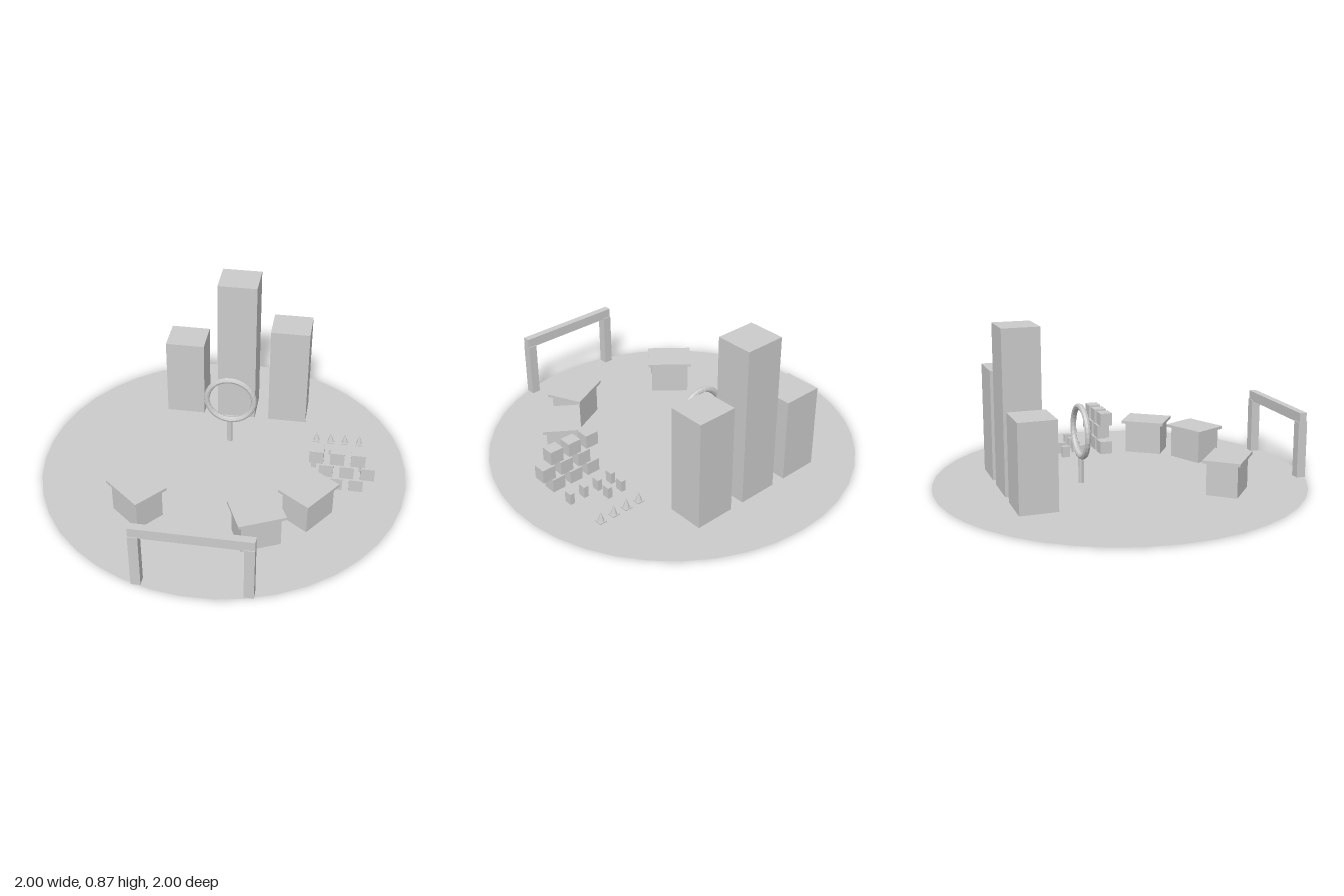
import * as THREE from 'three';

const grey = new THREE.MeshStandardMaterial({ color: 0xcccccc, flatShading: true });
const greyDouble = new THREE.MeshStandardMaterial({ color: 0xcccccc, flatShading: true, side: THREE.DoubleSide });
const SITE_TURN = 30; // most parts share this heading

function add(parent, name, geometry, x, y, z) {
  const mesh = new THREE.Mesh(geometry, grey);
  mesh.name = name;
  mesh.position.set(x, y, z);
  parent.add(mesh);
  return mesh;
}

// box standing on height y
function box(parent, name, w, h, d, x = 0, y = 0, z = 0) {
  return add(parent, name, new THREE.BoxGeometry(w, h, d), x, y + h / 2, z);
}

function place(parent, name, x, z, degrees = SITE_TURN) {
  const group = new THREE.Group();
  group.name = name;
  group.position.set(x, 0, z);
  group.rotation.y = THREE.MathUtils.degToRad(degrees);
  parent.add(group);
  return group;
}

export function createModel() {
  const model = new THREE.Group();
  model.name = 'plaza';

  // round ground plate
  const ground = add(model, 'ground', new THREE.CircleGeometry(1, 40).rotateX(-Math.PI / 2), 0, 0.002, 0);
  ground.material = greyDouble;

  // three towers in a row
  [[-0.537, -0.33, 0.465], [-0.277, -0.48, 0.868], [-0.017, -0.63, 0.6]].forEach(([x, z, h]) => {
    box(place(model, 'tower', x, z), 'towerBlock', 0.22, h, 0.2);
  });

  // upright ring on a post
  const ring = place(model, 'ringMonument', -0.11, -0.19);
  add(ring, 'ring', new THREE.TorusGeometry(0.133, 0.016, 8, 32), 0, 0.283, 0);
  add(ring, 'ringPost', new THREE.CylinderGeometry(0.014, 0.014, 0.145, 8), 0, 0.0725, 0);

  // stalls with flat overhanging roofs
  [[-0.105, 0.585, -10], [0.49, 0.345, 55], [0.595, 0.045, 85]].forEach(([x, z, turn]) => {
    const stall = place(model, 'stall', x, z, turn);
    box(stall, 'stallBody', 0.21, 0.175, 0.165);
    box(stall, 'stallRoof', 0.25, 0.016, 0.2, 0, 0.175);
  });

  // entrance gate
  const gate = place(model, 'gate', 0.465, 0.81);
  for (const side of [-1, 1]) box(gate, 'gatePost', 0.05, 0.31, 0.05, side * 0.275);
  box(gate, 'gateBeam', 0.6, 0.055, 0.04, 0, 0.305);

  // wall of blocks, each row staggered
  const wall = place(model, 'blockWall', 0.602, -0.255);
  for (let row = 0; row < 3; row++) {
    const shift = row % 2 ? 0.0275 : -0.0275;
    for (let i = -1; i <= 1; i++) box(wall, 'wallBlock', 0.075, 0.075, 0.07, i * 0.11 + shift, row * 0.085);
  }

  // small standing slabs: a row of four and a row of two
  const slabs = [[0.39, -0.31], [0.465, -0.355], [0.54, -0.398], [0.615, -0.441], [0.348, -0.387], [0.423, -0.43]];
  slabs.forEach(([x, z]) => box(place(model, 'slab', x, z), 'slabBlock', 0.026, 0.065, 0.045));

  // line of cones on square bases
  for (let i = 0; i < 4; i++) {
    const cone = place(model, 'cone', 0.276 + i * 0.0695, -0.502 - i * 0.0405);
    box(cone, 'coneBase', 0.042, 0.008, 0.042);
    add(cone, 'coneBody', new THREE.ConeGeometry(0.018, 0.053, 8), 0, 0.0345, 0);
  }

  return model;
}
